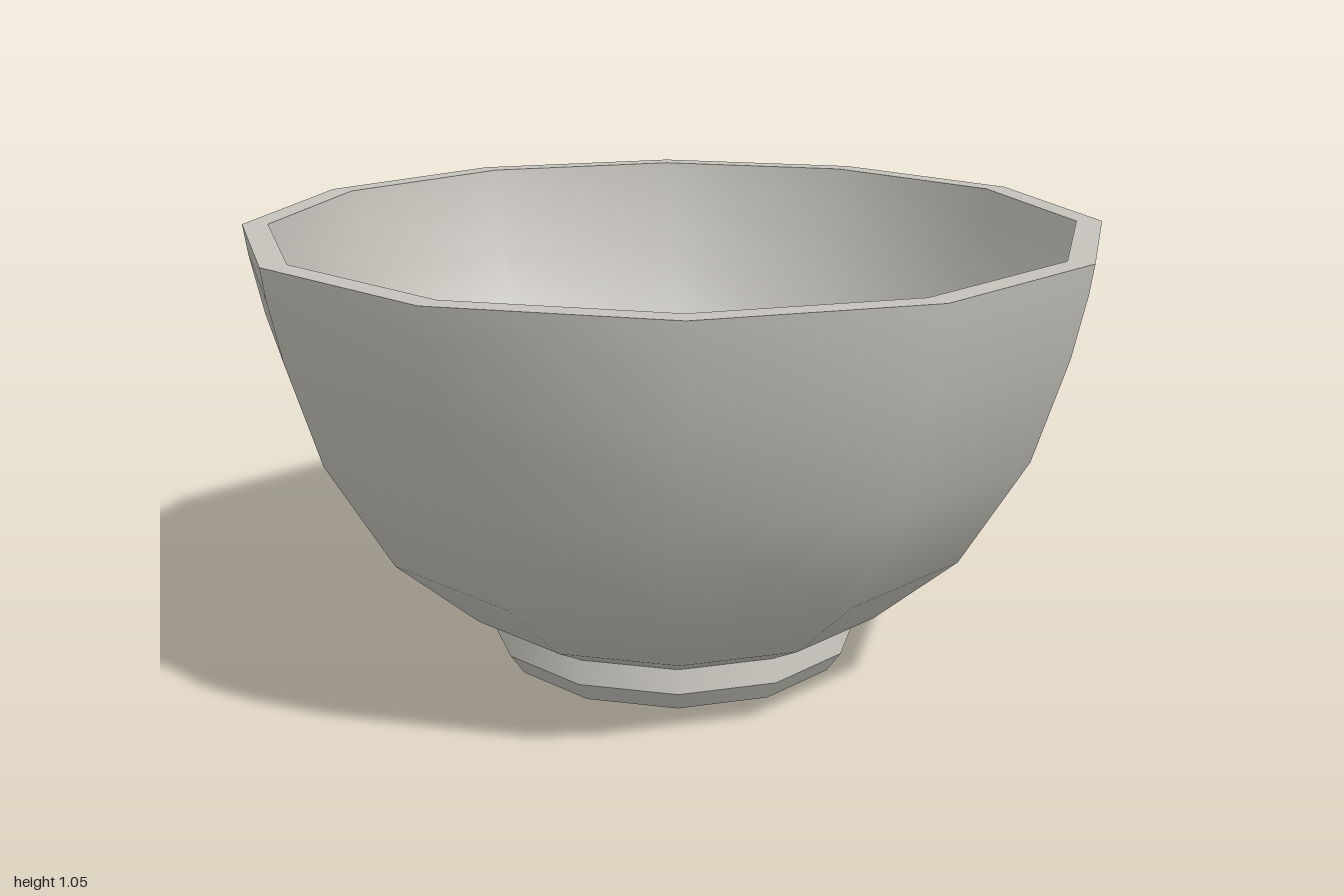
import * as THREE from 'three';

export function createModel() {
  const bowl = new THREE.Group();
  bowl.name = 'bowl';
  const ceramic = new THREE.MeshStandardMaterial({ name: 'warm grey ceramic', color: 0xc4c2ba });
  const sides = 12;

  // Each band is its own lathe: smooth around, crisp where bands meet
  const band = (name, profile) => {
    const points = profile.map(([r, y]) => new THREE.Vector2(r, y));
    const mesh = new THREE.Mesh(new THREE.LatheGeometry(points, sides), ceramic);
    mesh.name = name;
    bowl.add(mesh);
  };

  // Foot, from the underside up
  band('footUnderside', [[0, 0], [0.3, 0.002], [0.415, 0.01]]);
  band('footBevel', [[0.415, 0.01], [0.45, 0.06]]);
  band('footRing', [[0.45, 0.06], [0.437, 0.115]]);

  // Outer wall
  band('outerWall', [
    [0.437, 0.115], [0.53, 0.165], [0.73, 0.34], [0.885, 0.6],
    [0.96, 0.84], [0.99, 0.98], [1, 1.05],
  ]);

  // Flat rim
  band('rim', [[1, 1.05], [0.94, 1.05]]);

  // Inside wall running down into the floor
  band('innerWall', [
    [0.94, 1.05], [0.93, 0.98], [0.9, 0.85], [0.83, 0.63],
    [0.685, 0.39], [0.5, 0.22], [0.39, 0.165],
  ]);
  band('innerFloor', [[0.39, 0.165], [0, 0.155]]);

  return bowl;
}
